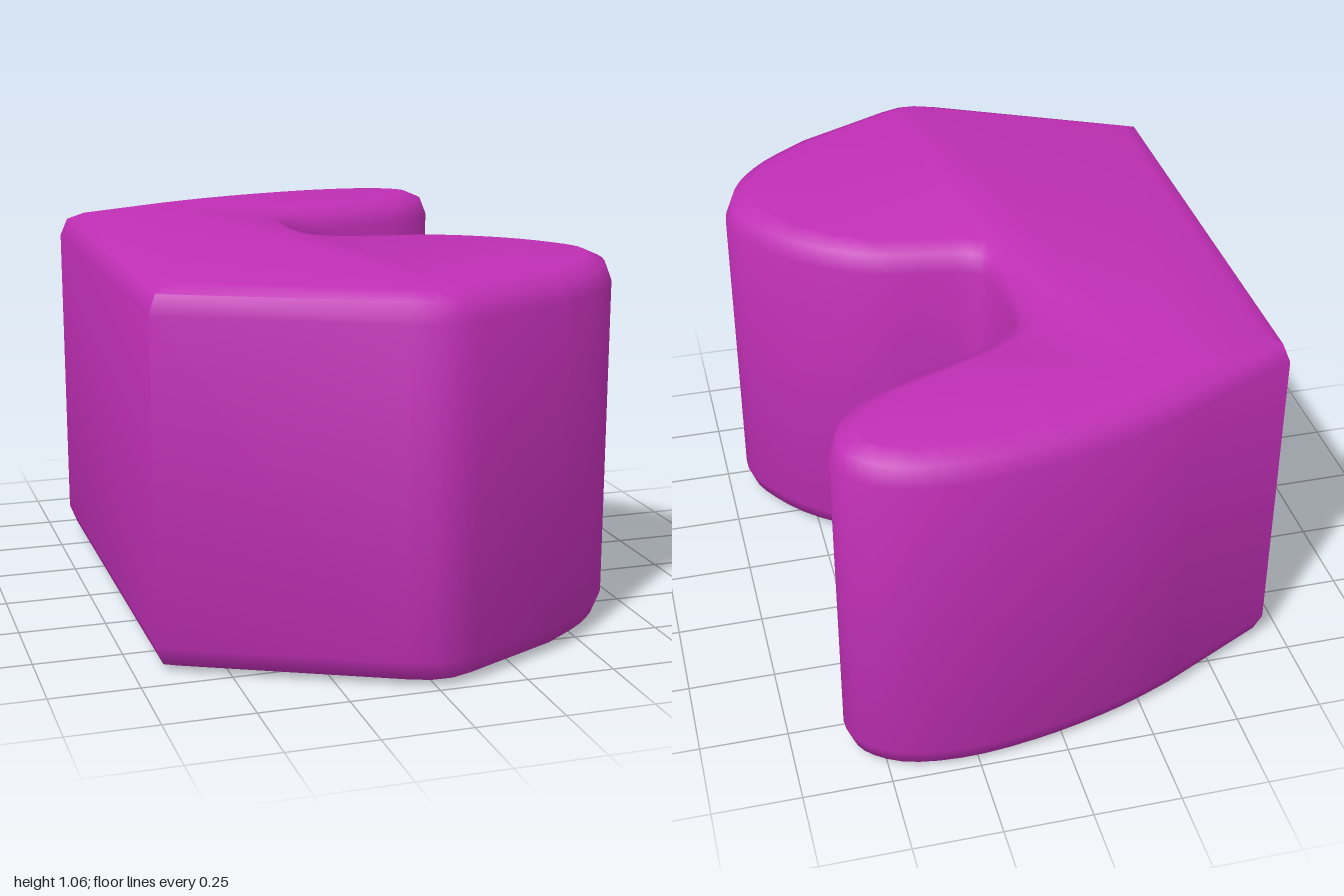
import * as THREE from 'three';
import { toCreasedNormals } from 'three/addons/utils/BufferGeometryUtils.js';

const HEIGHT = 1.06, BEVEL = 0.075;
const pts = (list) => list.map(([x, z]) => new THREE.Vector2(x, z));

// Plan outline, drawn as (x, z): straight left side, two lobes and a notch on the right
function outline() {
  const s = new THREE.Shape();
  s.moveTo(-0.69, 0.67);
  s.lineTo(-0.69, -0.68);
  s.lineTo(-0.36, -0.845);
  // back lobe
  s.splineThru(pts([[-0.19, -0.912], [0.03, -0.97], [0.26, -1], [0.45, -0.98], [0.565, -0.91],
    [0.6, -0.82], [0.565, -0.715], [0.46, -0.62], [0.3, -0.55], [0.15, -0.49],
    // notch
    [0.05, -0.43], [0, -0.36], [-0.017, -0.22], [0, -0.07], [0.04, -0.022],
    // front lobe
    [0.14, 0.003], [0.34, 0.045], [0.53, 0.17], [0.65, 0.32], [0.69, 0.44], [0.65, 0.59],
    [0.55, 0.72], [0.4, 0.835]]));
  s.lineTo(0.11, 0.975);
  // rounded front tip
  s.bezierCurveTo(0.04, 1.008, 0, 1.008, -0.08, 0.97);
  s.closePath();
  return s;
}

export function createModel() {
  const group = new THREE.Group();
  group.name = 'notchedBlock';

  // Bevelled slab, laid flat so its depth runs vertically
  let geometry = new THREE.ExtrudeGeometry(outline(), {
    depth: HEIGHT - 2 * BEVEL,
    curveSegments: 3,
    bevelThickness: BEVEL,
    bevelSize: 0.07,
    bevelOffset: -0.07,
    bevelSegments: 2,
  });
  geometry.rotateX(Math.PI / 2);
  geometry.translate(0, HEIGHT - BEVEL, 0);
  geometry = toCreasedNormals(geometry, 0.9);

  const body = new THREE.Mesh(geometry, new THREE.MeshStandardMaterial({ color: 0xc02fb5 }));
  body.name = 'body';
  group.add(body);
  return group;
}
